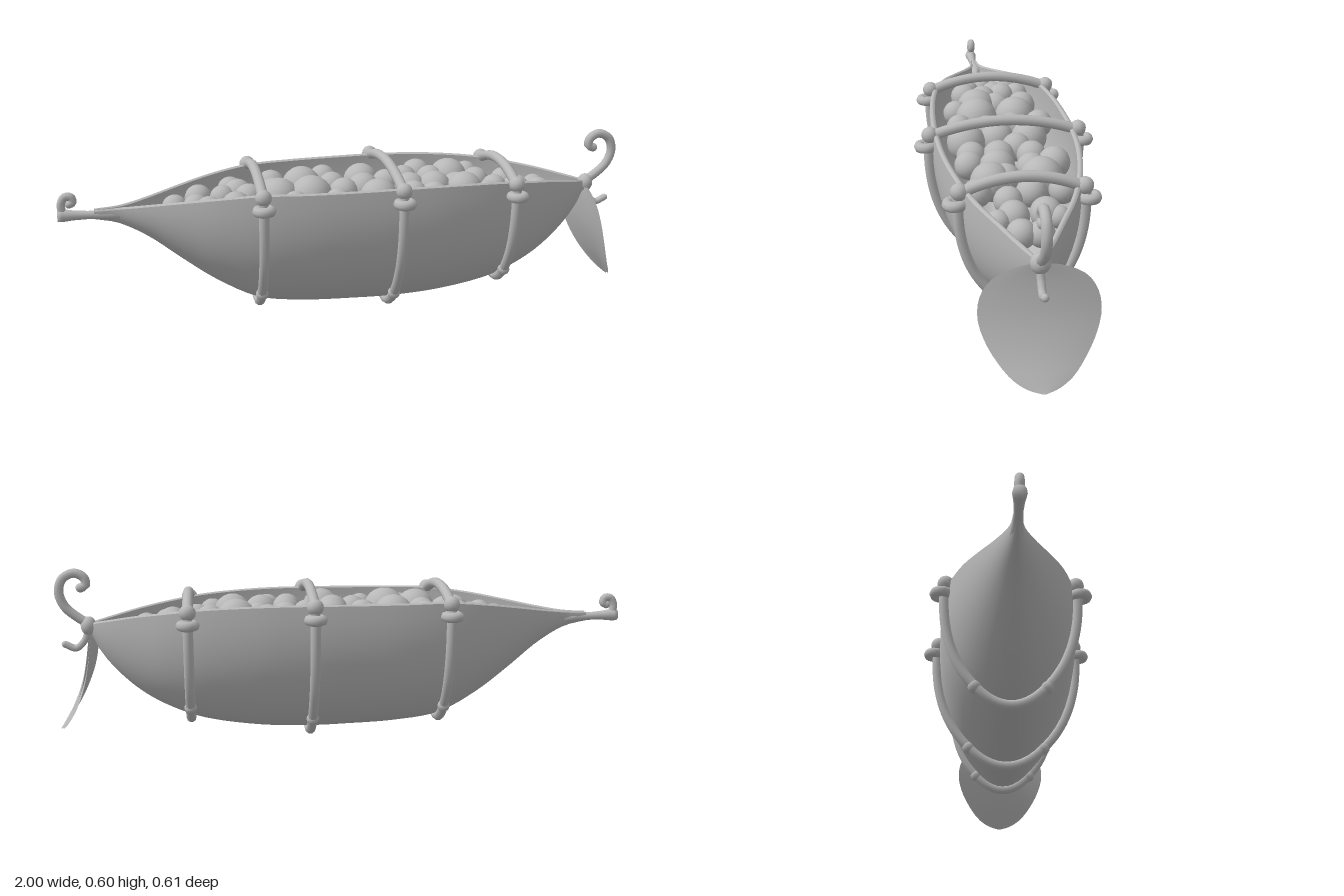
import * as THREE from 'three';

const gray = new THREE.MeshStandardMaterial({ color: 0xb8b8b8, side: THREE.DoubleSide });
gray.name = 'plain gray';

// Pod stations: x, rim height, keel height, half width
const STATIONS = [
  [-0.88, 0.405, 0.376, 0.013], [-0.8, 0.41, 0.357, 0.022], [-0.7, 0.425, 0.3, 0.062],
  [-0.6, 0.443, 0.22, 0.11], [-0.48, 0.463, 0.13, 0.163], [-0.34, 0.479, 0.055, 0.205],
  [-0.18, 0.481, 0.03, 0.23], [0, 0.482, 0.022, 0.24], [0.15, 0.483, 0.02, 0.24],
  [0.32, 0.48, 0.03, 0.228], [0.5, 0.469, 0.06, 0.195], [0.62, 0.453, 0.105, 0.155],
  [0.72, 0.437, 0.165, 0.107], [0.81, 0.418, 0.25, 0.06], [0.86, 0.407, 0.32, 0.03], [0.885, 0.4, 0.375, 0.012],
];

function station(x) {
  let i = 0;
  while (i < STATIONS.length - 2 && STATIONS[i + 1][0] < x) i++;
  const at = (k) => STATIONS[Math.max(0, Math.min(STATIONS.length - 1, k))];
  const p = [at(i - 1), at(i), at(i + 1), at(i + 2)];
  const h = p[2][0] - p[1][0], t = (x - p[1][0]) / h;
  const [rim, keel, width] = [1, 2, 3].map((k) => {
    const m1 = (p[2][k] - p[0][k]) / (p[2][0] - p[0][0]) * h;
    const m2 = (p[3][k] - p[1][k]) / (p[3][0] - p[1][0]) * h;
    const t2 = t * t, t3 = t2 * t;
    return (2 * t3 - 3 * t2 + 1) * p[1][k] + (t3 - 2 * t2 + t) * m1
      + (3 * t2 - 2 * t3) * p[2][k] + (t3 - t2) * m2;
  });
  return { rim, keel, width };
}

// Point on the pod wall; a runs 0..PI from the +z rim under the keel to the -z rim
function wall(x, a, offset = 0) {
  const { rim, keel, width } = station(x);
  const w = Math.max(width + offset, width * 0.5);
  const depth = Math.max(rim - keel + offset, (rim - keel) * 0.5);
  const bulge = 0.05 * Math.max(0, Math.sin(3 * a)) * Math.sign(Math.cos(a));
  return new THREE.Vector3(x, rim - depth * Math.sin(a), w * (Math.cos(a) + bulge));
}

// Smooth sheet over a grid of points
function sheet(fn, nu, nv) {
  const pos = [], index = [];
  for (let i = 0; i <= nu; i++) {
    for (let j = 0; j <= nv; j++) {
      pos.push(...fn(i / nu, j / nv).toArray());
      if (i < nu && j < nv) {
        const a = i * (nv + 1) + j, b = a + nv + 1;
        index.push(a, a + 1, b, b, a + 1, b + 1);
      }
    }
  }
  const g = new THREE.BufferGeometry();
  g.setAttribute('position', new THREE.Float32BufferAttribute(pos, 3));
  g.setIndex(index);
  g.computeVertexNormals();
  return g;
}

function add(parent, name, geometry, x = 0, y = 0, z = 0) {
  const m = new THREE.Mesh(geometry, gray);
  m.name = name;
  m.position.set(x, y, z);
  parent.add(m);
  return m;
}

function tube(points, radius, segments = 32) {
  const curve = new THREE.CatmullRomCurve3(points.map((p) => new THREE.Vector3(...p)));
  return new THREE.TubeGeometry(curve, segments, radius, 10);
}

// Tube in the z = 0 plane with a rounded tip
function tendril(parent, name, points, radius) {
  add(parent, name, tube(points.map(([x, y]) => [x, y, 0]), radius));
  const [x, y] = points[points.length - 1];
  add(parent, name + 'Tip', new THREE.SphereGeometry(radius, 10, 8), x, y);
}

// Peas: x, z, radius
const PEAS = [
  [-0.61, -0.04, 0.045], [-0.62, 0.035, 0.038], [-0.525, -0.085, 0.048], [-0.54, 0.01, 0.045],
  [-0.5, 0.065, 0.045], [-0.445, -0.03, 0.045], [-0.41, -0.115, 0.045], [-0.39, -0.055, 0.05],
  [-0.41, 0.085, 0.05], [-0.36, 0.02, 0.05], [-0.265, -0.115, 0.052], [-0.27, -0.02, 0.05],
  [-0.26, 0.055, 0.07], [-0.16, -0.075, 0.07], [-0.215, 0.135, 0.045], [-0.15, 0.065, 0.075],
  [-0.07, -0.15, 0.05], [-0.055, -0.05, 0.05], [-0.07, 0.135, 0.045], [-0.03, 0.04, 0.052],
  [0.06, -0.095, 0.062], [0.045, 0.015, 0.058], [0.075, 0.125, 0.066], [0.14, -0.04, 0.05],
  [0.215, -0.08, 0.05], [0.21, 0.03, 0.054], [0.2, 0.12, 0.05], [0.28, -0.145, 0.054],
  [0.31, -0.065, 0.05], [0.295, 0.045, 0.06], [0.27, 0.135, 0.048], [0.385, -0.085, 0.07],
  [0.38, 0.03, 0.05], [0.395, 0.08, 0.065], [0.475, -0.04, 0.05], [0.47, -0.14, 0.046],
  [0.465, 0.13, 0.046], [0.52, 0.04, 0.046], [0.595, -0.065, 0.05], [0.605, 0.035, 0.05],
  [0.62, -0.1, 0.036], [0.7, -0.035, 0.042], [0.695, 0.025, 0.046], [0.63, 0.085, 0.038],
];

export function createModel() {
  const model = new THREE.Group();
  model.name = 'peaPodBoat';

  // Pod: outer wall, inner wall and the lip joining them
  const X0 = -0.88, X1 = 0.885, T = 0.018;
  const xAt = (u) => X0 + (X1 - X0) * u;
  const pod = new THREE.Group();
  pod.name = 'pod';
  model.add(pod);
  add(pod, 'outerWall', sheet((u, v) => wall(xAt(u), v * Math.PI), 64, 28));
  add(pod, 'innerWall', sheet((u, v) => wall(xAt(u), v * Math.PI, -T), 64, 28));
  for (const a of [0, Math.PI]) {
    add(pod, 'lip', sheet((u, v) => {
      const p = wall(xAt(u), a).lerp(wall(xAt(u), a, -T), v);
      p.y += 0.005 * Math.sin(v * Math.PI);
      return p;
    }, 64, 4));
  }

  // Peas
  const peas = new THREE.Group();
  peas.name = 'peas';
  model.add(peas);
  for (const [x, z, r] of PEAS) {
    add(peas, 'pea', new THREE.SphereGeometry(r, 18, 12), x, station(x).rim - 0.055, z);
  }

  // Vine bindings with knots
  for (const x of [-0.335, 0.13, 0.548]) {
    const binding = new THREE.Group();
    binding.name = 'binding';
    model.add(binding);
    const { rim, width } = station(x);
    const loop = [];
    for (let i = 0; i <= 16; i++) loop.push(wall(x, i / 16 * Math.PI, 0.014).toArray());
    add(binding, 'hullLoop', tube(loop, 0.017, 56));
    const arch = [];
    for (let i = -4; i <= 4; i++) {
      const s = i / 4;
      arch.push([x, rim - 0.005 + 0.046 * (1 - s * s), s * (width + 0.012)]);
    }
    add(binding, 'archVine', tube(arch, 0.018));
    for (const side of [1, -1]) {
      add(binding, 'upperKnot', new THREE.SphereGeometry(0.028, 12, 8), x, rim, side * (width + 0.012));
      const ring = add(binding, 'knotRing', new THREE.TorusGeometry(0.022, 0.018, 8, 16),
        x, rim - 0.04, side * (width + 0.026));
      ring.rotation.x = Math.PI / 2;
      const a = side > 0 ? 1.02 : Math.PI - 1.02;
      const p = wall(x, a, 0.016);
      add(binding, 'lowerKnot', new THREE.SphereGeometry(0.022, 12, 8), p.x, p.y, p.z);
    }
  }

  // Thin stem and small curl at the tail
  const stem = new THREE.LatheGeometry(
    [[0, 0], [0.02, 0], [0.022, 0.015], [0.017, 0.05], [0.014, 0.1], [0.016, 0.15], [0.024, 0.22], [0, 0.26]]
      .map(([r, h]) => new THREE.Vector2(r, h)), 14);
  stem.rotateZ(-Math.PI / 2);
  const tail = add(model, 'tailStem', stem, -1, 0.396, 0);
  tail.rotation.z = -0.04;
  tendril(model, 'tailCurl', [[-0.982, 0.395], [-0.986, 0.435], [-0.972, 0.459], [-0.952, 0.457],
    [-0.948, 0.44], [-0.96, 0.433]], 0.014);

  // Bow knot, large curl and hanging tendril
  const knot = add(model, 'bowKnot', new THREE.SphereGeometry(0.03, 14, 10), 0.89, 0.395, 0);
  knot.scale.set(0.9, 1.1, 1);
  tendril(model, 'bowCurl', [[0.885, 0.4], [0.925, 0.425], [0.968, 0.465], [0.985, 0.515], [0.97, 0.56],
    [0.93, 0.578], [0.898, 0.56], [0.895, 0.535], [0.912, 0.527]], 0.016);
  tendril(model, 'bowTendril', [[0.89, 0.39], [0.905, 0.345], [0.935, 0.318], [0.972, 0.332]], 0.012);

  // Hanging leaf: height, x of the midrib, half width
  const LEAF = [[0.39, 0.887, 0.012], [0.375, 0.887, 0.075], [0.34, 0.889, 0.138], [0.29, 0.896, 0.17], [0.23, 0.909, 0.177],
    [0.17, 0.929, 0.16], [0.115, 0.953, 0.128], [0.07, 0.978, 0.088], [0.045, 0.993, 0.045], [0.035, 1, 0.004]];
  const ribs = new THREE.CatmullRomCurve3(LEAF.map((p) => new THREE.Vector3(...p)));
  const leaf = (shift) => sheet((u, v) => {
    const p = ribs.getPoint(u), s = v * 2 - 1;
    return new THREE.Vector3(p.y - 0.012 * s * s * Math.sin(u * Math.PI) - shift, p.x, p.z * s);
  }, 24, 12);
  add(model, 'leafFront', leaf(0));
  add(model, 'leafBack', leaf(0.007));

  return model;
}
